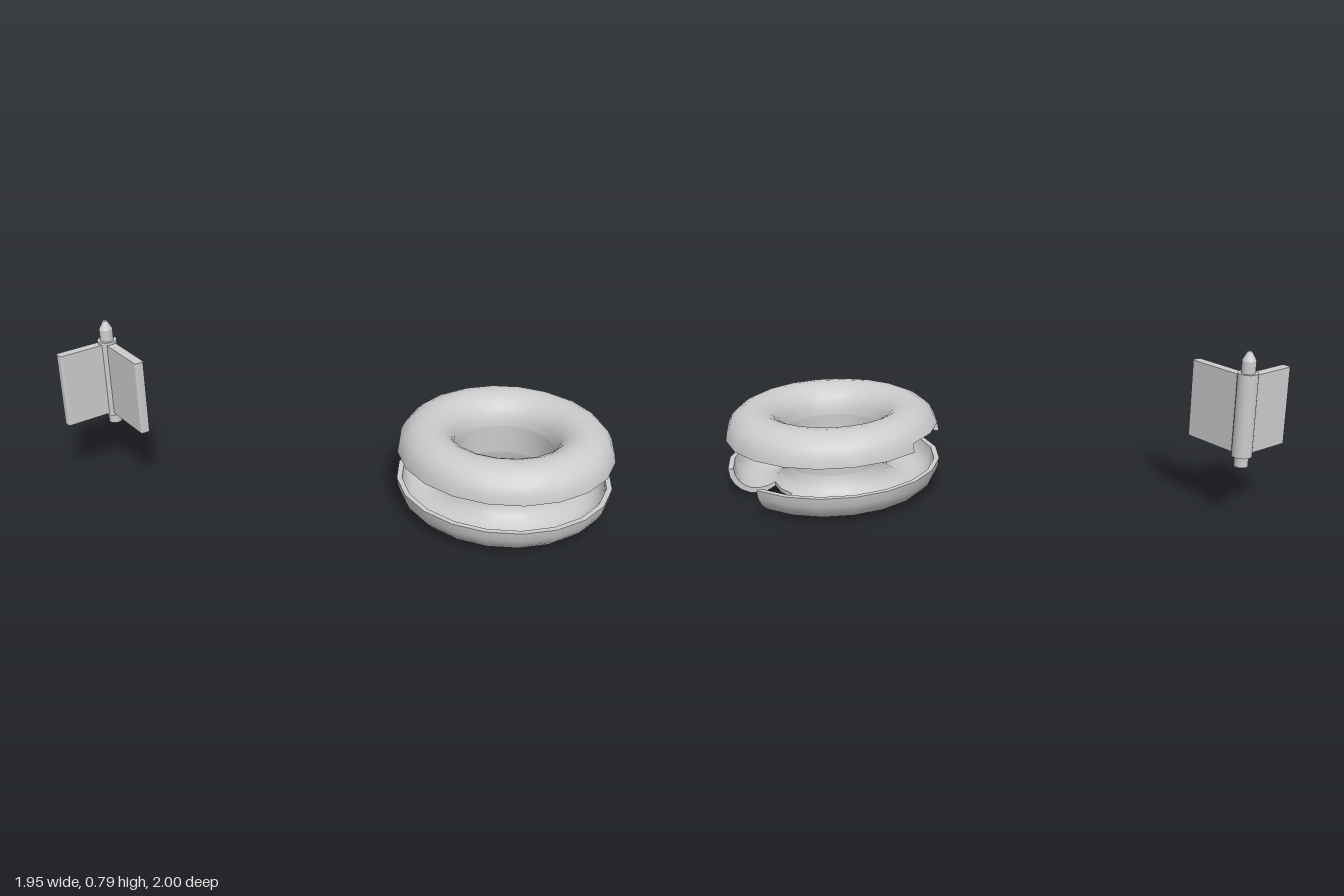
import * as THREE from 'three';

const SIDES = 20, STEPS = 10;
const RING = 0.365, TUBE = 0.135, LINING = 0.11, HEIGHT = 0.41;
const material = new THREE.MeshStandardMaterial({ color: 0xcccccc, side: THREE.DoubleSide });

function part(parent, name, geometry) {
  const mesh = new THREE.Mesh(geometry, material);
  mesh.name = name;
  parent.add(mesh);
  return mesh;
}

// Half-round rim section: outer skin, narrow lip, then lining back to the waist.
// The last `cut` steps next to the lip are left out. Doubled points keep the lip sharp.
function rimSection(cut) {
  const outer = [], inner = [];
  for (let i = 0; i <= STEPS - cut; i++) {
    const a = Math.PI * (1 + i / STEPS), c = Math.cos(a), s = Math.sin(a);
    outer.push(new THREE.Vector2(RING + TUBE * c, TUBE + TUBE * s));
    inner.push(new THREE.Vector2(RING + (c < 0 ? TUBE : LINING) * c, TUBE + LINING * s));
  }
  inner.reverse();
  return [...outer, outer[outer.length - 1].clone(), inner[0].clone(), ...inner];
}

// Rim ring with a two-sided notch centred on the angle `at` (0 is the front)
function rim(name, at, cut) {
  const group = new THREE.Group();
  group.name = name;
  const step = (2 * Math.PI) / SIDES;
  const full = rimSection(0);
  part(group, 'rimShell', new THREE.LatheGeometry(full, SIDES - 2, at + step, 2 * Math.PI - 2 * step));
  part(group, 'rimNotch', new THREE.LatheGeometry(rimSection(cut), 2, at - step, 2 * step));
  for (const side of [-1, 1]) {
    const end = part(group, 'notchEnd', new THREE.ShapeGeometry(new THREE.Shape(full)));
    end.rotation.y = at + side * step - Math.PI / 2;
  }
  return group;
}

function grommet() {
  const group = new THREE.Group();
  group.name = 'grommet';
  const lower = rim('lowerRim', Math.PI, 7);
  const upper = rim('upperRim', -0.3 * Math.PI, 1);
  upper.scale.y = -1;
  upper.position.y = HEIGHT;
  group.add(lower, upper);
  // Open sleeve joining the two rims
  const r = RING - TUBE, wall = HEIGHT - 2 * TUBE;
  part(group, 'waist', new THREE.CylinderGeometry(r, r, wall, SIDES, 1, true)).position.y = HEIGHT / 2;
  return group;
}

// Flat hinge leaf running out along +x with softened end corners
function leaf(length) {
  const t = 0.0225, c = 0.012;
  const s = new THREE.Shape();
  s.moveTo(0, -t);
  s.lineTo(length - c, -t);
  s.quadraticCurveTo(length, -t, length, -t + c);
  s.lineTo(length, t - c);
  s.quadraticCurveTo(length, t, length - c, t);
  s.lineTo(0, t);
  s.closePath();
  return new THREE.ExtrudeGeometry(s, { depth: 0.355, bevelEnabled: false, curveSegments: 4 })
    .rotateX(-Math.PI / 2);
}

function hinge() {
  const group = new THREE.Group();
  group.name = 'hinge';
  const cylinder = (name, top, bottom, y0, y1) => {
    part(group, name, new THREE.CylinderGeometry(top, bottom, y1 - y0, 24)).position.y = (y0 + y1) / 2;
  };
  cylinder('lowerPin', 0.031, 0.031, 0.265, 0.312);
  cylinder('barrel', 0.045, 0.045, 0.312, 0.69);
  cylinder('upperPin', 0.031, 0.031, 0.69, 0.745);
  cylinder('pinTip', 0.01, 0.031, 0.745, 0.785);
  part(group, 'sideLeaf', leaf(0.305)).position.y = 0.323;
  const front = part(group, 'frontLeaf', leaf(0.25));
  front.position.y = 0.323;
  front.rotation.y = -Math.PI / 2;
  return group;
}

export function createModel() {
  const model = new THREE.Group();
  model.name = 'grommetAndHinge';
  const ring = grommet();
  ring.position.set(0.475, 0, -0.5);
  const pivot = hinge();
  pivot.position.set(-0.934, 0, 0.75);
  model.add(ring, pivot);
  return model;
}
